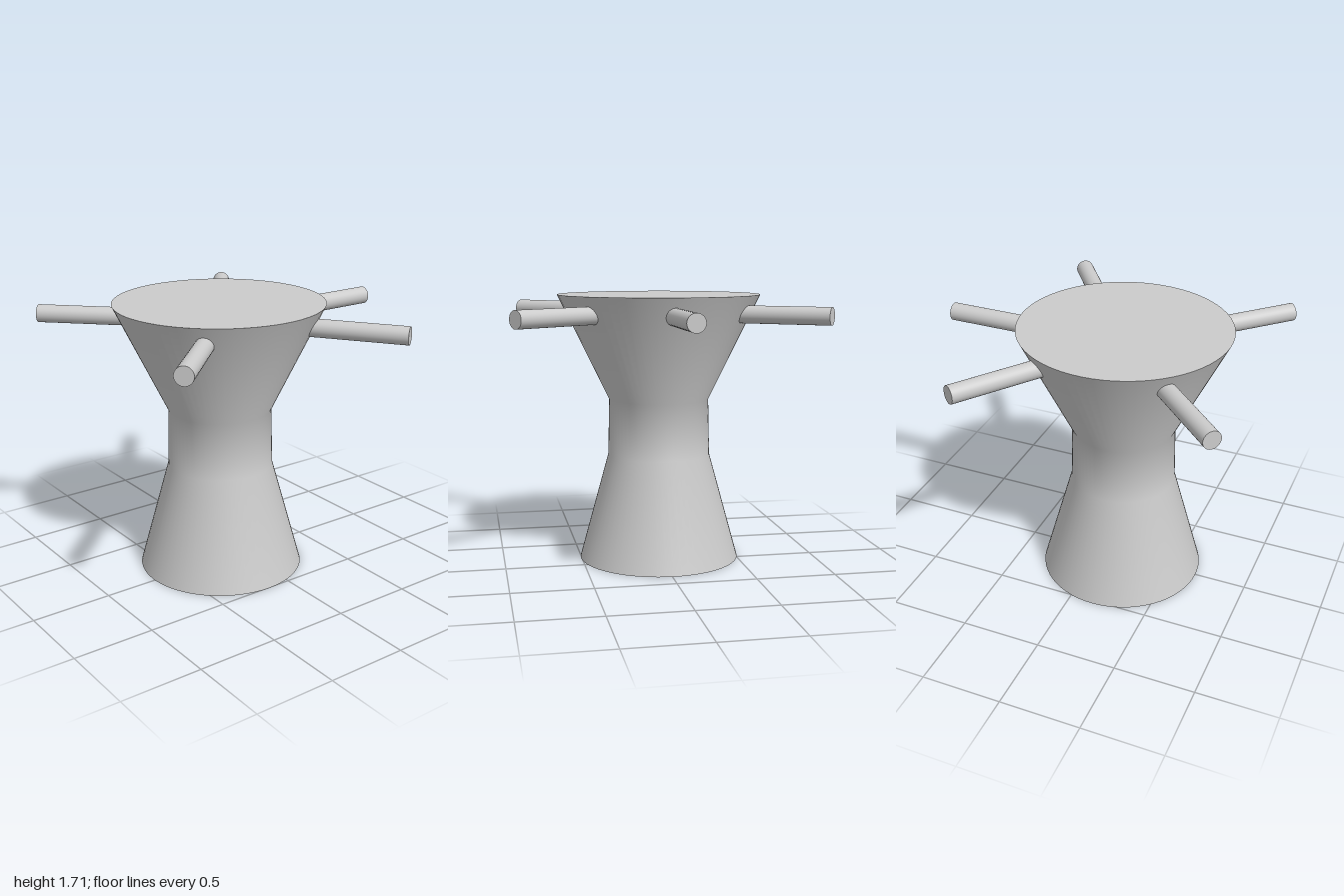
import * as THREE from 'three';

const material = new THREE.MeshStandardMaterial({ color: 0xcccccc });

function addMesh(parent, name, geometry) {
  const mesh = new THREE.Mesh(geometry, material);
  mesh.name = name;
  parent.add(mesh);
  return mesh;
}

export function createModel() {
  const model = new THREE.Group();
  model.name = 'spokedPedestal';

  // Waisted body: smooth turned side with flat caps
  const body = new THREE.Group();
  body.name = 'body';
  body.position.set(-0.01, 0, 0.153);
  model.add(body);
  const profile = [[0.515, 0], [0.328, 0.68], [0.32, 1.04], [0.645, 1.71]]
    .map(([r, y]) => new THREE.Vector2(r, y));
  addMesh(body, 'bodySide', new THREE.LatheGeometry(profile, 64));
  addMesh(body, 'topCap', new THREE.CircleGeometry(0.645, 64).rotateX(-Math.PI / 2)).position.y = 1.71;
  addMesh(body, 'bottomCap', new THREE.CircleGeometry(0.515, 64).rotateX(Math.PI / 2));

  // Five horizontal rods radiating from the upper body; angles measured from +x towards the back
  const rodStart = 0.35;
  const rods = [
    ['backRod', 90, 1.14],
    ['backLeftRod', 35, 1.14],
    ['backRightRod', 145, 1.14],
    ['frontLeftRod', -45, 1.15],
    ['frontRightRod', 225, 1.15],
  ];
  for (const [name, degrees, reach] of rods) {
    const length = reach - rodStart;
    const geometry = new THREE.CylinderGeometry(0.055, 0.055, length, 32)
      .rotateZ(-Math.PI / 2)
      .translate(rodStart + length / 2, 0, 0);
    const rod = addMesh(model, name, geometry);
    rod.position.set(0, 1.595, 0.138);
    rod.rotation.y = THREE.MathUtils.degToRad(degrees);
  }
  return model;
}
